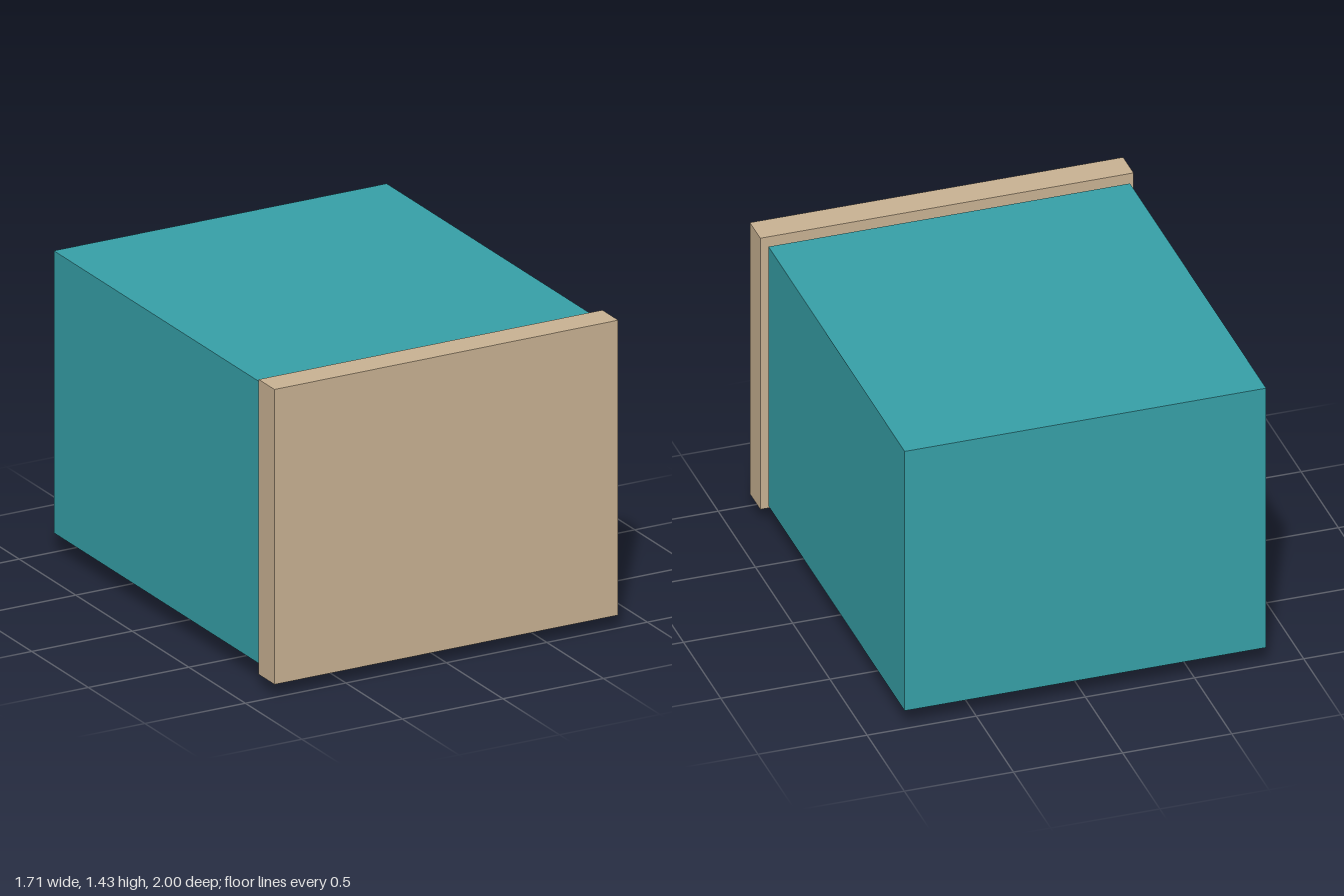
import * as THREE from 'three';

export function createModel() {
  const model = new THREE.Group();
  model.name = 'cabinetBox';

  const material = (name, color) => {
    const m = new THREE.MeshStandardMaterial({ color });
    m.name = name;
    return m;
  };
  const teal = material('teal', 0x369fa7);
  const tan = material('tan', 0xc8b192);
  const purple = material('purple', 0xb585cc);

  // Box given by its lower and upper limits on each axis
  const addBox = (name, mat, [x0, x1], [y0, y1], [z0, z1]) => {
    const mesh = new THREE.Mesh(new THREE.BoxGeometry(x1 - x0, y1 - y0, z1 - z0), mat);
    mesh.position.set((x0 + x1) / 2, (y0 + y1) / 2, (z0 + z1) / 2);
    mesh.name = name;
    model.add(mesh);
  };

  // Main body and the front panel standing just clear of it
  addBox('body', teal, [-0.828, 0.828], [0.09, 1.4], [-1, 0.828]);
  addBox('frontPanel', tan, [-0.855, 0.855], [0.06, 1.43], [0.86, 1]);

  // Lengthwise rails under the body
  for (const [name, x] of [['leftRail', 0.367], ['rightRail', -0.367]])
    addBox(name, purple, [x - 0.035, x + 0.035], [0.024, 0.09], [-0.392, 0.295]);

  // Crosswise feet under the body
  for (const [name, z] of [['frontFoot', 0.602], ['middleFoot', 0.201], ['rearFoot', -0.315]])
    addBox(name, purple, [-0.228, 0.228], [0, 0.09], [z - 0.035, z + 0.035]);

  return model;
}
